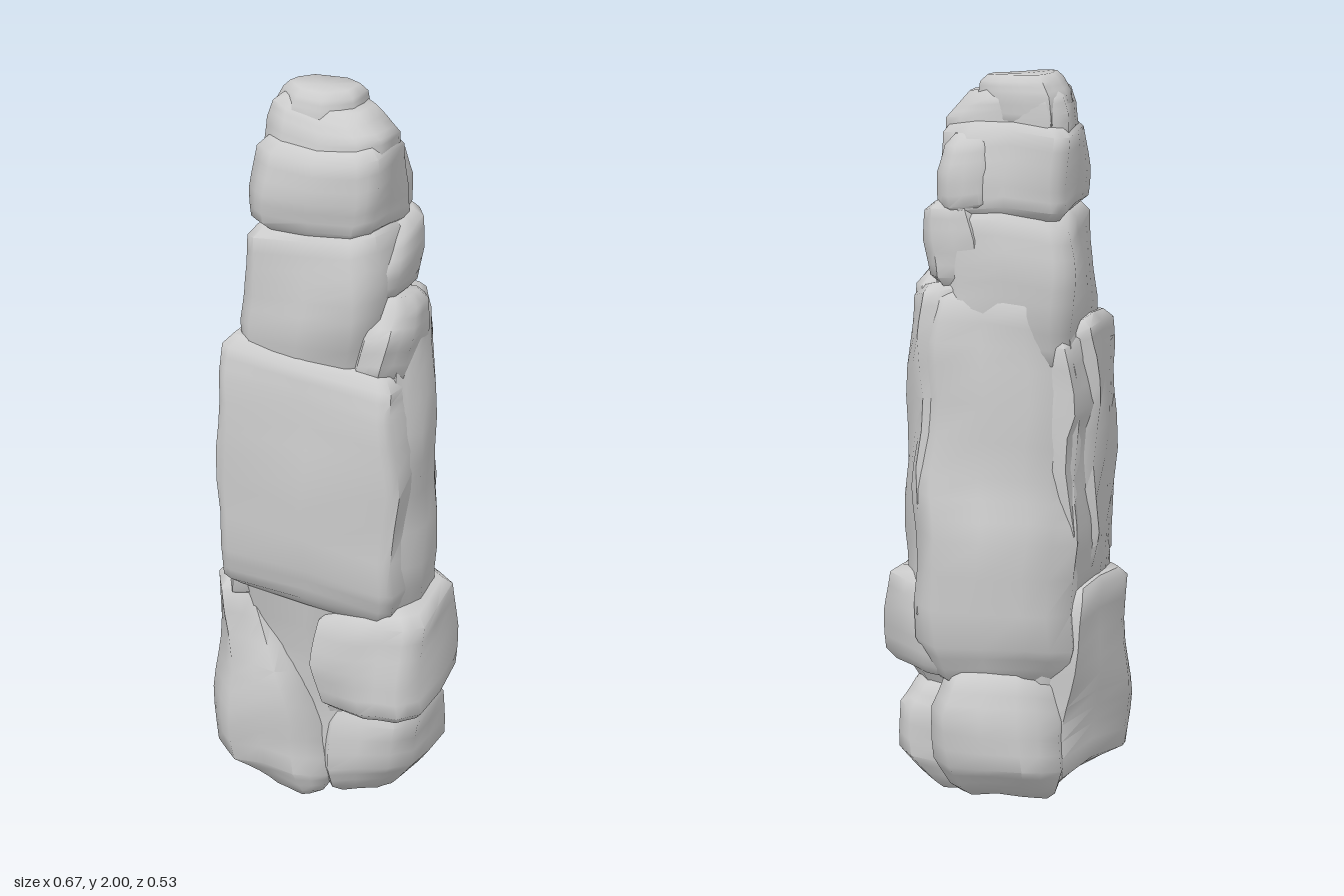
import * as THREE from 'three';
import { toCreasedNormals } from 'three/addons/utils/BufferGeometryUtils.js';

const material = new THREE.MeshStandardMaterial({ color: 0xcccccc });

// Plan outline of a boulder in -1..1, corners cut by [frontLeft, frontRight, backRight, backLeft]
// as seen from the front (a number, or separate [x, z] amounts), each edge split in two.
function planOutline(cuts) {
  const [a, b, c, d] = cuts.map((v) => (Array.isArray(v) ? v : [v, v]));
  const corners = [
    [-1 + a[0], 1], [1 - b[0], 1], [1, 1 - b[1]], [1, -1 + c[1]],
    [1 - c[0], -1], [-1 + d[0], -1], [-1, -1 + d[1]], [-1, 1 - a[1]],
  ];
  return corners.flatMap((p, i) => {
    const q = corners[(i + 1) % corners.length];
    return [p, [(p[0] + q[0]) / 2, (p[1] + q[1]) / 2]];
  });
}

// Boulder lofted through sections [y, xMin, xMax, zMin, zMax], with bevelled ends.
// tilt leans the ends: [top by x, top by z, bottom by x, bottom by z].
function boulder(name, sections, { cuts = [0.2, 0.2, 0.4, 0.4], tilt = [0, 0, 0, 0], bevel = 0.025, rough = 0.008 } = {}) {
  const inset = ([y, x0, x1, z0, z1], dy) => [y + dy, x0 + bevel, x1 - bevel, z0 + bevel, z1 - bevel];
  const last = sections[sections.length - 1];
  const rings = [inset(sections[0], -bevel)];
  sections.forEach((s, i) => {
    rings.push(s);
    const n = sections[i + 1];
    if (n) for (const t of [1 / 3, 2 / 3]) rings.push(s.map((v, k) => v + (n[k] - v) * t));
  });
  rings.push(inset(last, bevel));

  const outline = planOutline(cuts);
  const N = outline.length, yLow = rings[0][0], yHigh = rings[rings.length - 1][0];
  const pos = [], idx = [];
  const put = ([y, x0, x1, z0, z1], u, v) => {
    const cx = (x0 + x1) / 2, cz = (z0 + z1) / 2;
    const dx = u * (x1 - x0) / 2, dz = v * (z1 - z0) / 2;
    const t = (y - yLow) / (yHigh - yLow);
    const lean = t * (tilt[0] * dx + tilt[1] * dz) + (1 - t) * (tilt[2] * dx + tilt[3] * dz);
    const x = cx + dx, z = cz + dz;
    pos.push(
      x + rough * Math.sin(17 * y + 11 * z + 3 * x),
      Math.min(2, Math.max(0, y + lean + rough * Math.sin(19 * x - 13 * z))),
      z + rough * Math.sin(14 * y - 16 * x + 1),
    );
  };
  rings.forEach((r) => outline.forEach(([u, v]) => put(r, u, v)));
  put(rings[0], 0, 0);
  put(rings[rings.length - 1], 0, 0);
  const bottom = rings.length * N, top = bottom + 1, lastRing = bottom - N;
  for (let i = 0; i < N; i++) {
    const j = (i + 1) % N;
    for (let r = 0; r < rings.length - 1; r++) {
      const a = r * N + i, b = r * N + j;
      idx.push(a, b, b + N, a, b + N, a + N);
    }
    idx.push(bottom, j, i, top, lastRing + i, lastRing + j);
  }
  const geo = new THREE.BufferGeometry();
  geo.setAttribute('position', new THREE.Float32BufferAttribute(pos, 3));
  geo.setIndex(idx);
  const mesh = new THREE.Mesh(toCreasedNormals(geo, 1), material);
  mesh.name = name;
  return mesh;
}

export function createModel() {
  const group = new THREE.Group();
  group.name = 'rockPillar';
  group.add(
    // Foot stones
    boulder('footStoneRight', [
      [0.035, -0.2, 0.0, -0.08, 0.18], [0.1, -0.325, 0.025, -0.15, 0.215], [0.25, -0.33, 0.005, -0.16, 0.215],
      [0.4, -0.325, -0.06, -0.16, 0.2], [0.6, -0.32, -0.15, -0.15, 0.165],
    ], { cuts: [[0.55, 0.5], 0.4, 0.4, [0.75, 1.3]], tilt: [-0.25, 0, -0.08, 0] }),
    boulder('footStoneLeft', [
      [0.05, 0.0, 0.2, -0.13, 0.13], [0.12, 0.0, 0.265, -0.16, 0.16], [0.25, 0.0, 0.275, -0.165, 0.155],
      [0.32, 0.02, 0.24, -0.14, 0.13],
    ], { cuts: [0.3, 0.35, 0.35, 0.3], tilt: [0.1, 0, 0.12, 0] }),
    boulder('footStoneBack', [
      [0.06, -0.17, 0.12, -0.2, 0.0], [0.14, -0.2, 0.15, -0.255, 0.0], [0.28, -0.2, 0.16, -0.255, 0.0],
      [0.38, -0.16, 0.13, -0.225, 0.0],
    ], { cuts: [0.2, 0.2, [0.3, 0.5], 0.55], tilt: [0.12, 0, 0, 0] }),
    // Recessed filling between the foot and the main slabs
    boulder('innerStone', [
      [0.08, -0.16, 0.14, -0.14, 0.13], [0.3, -0.2, 0.16, -0.18, 0.14], [0.45, -0.22, 0.17, -0.18, 0.15],
      [0.7, -0.22, 0.18, -0.18, 0.2],
    ]),
    boulder('wedgeStone', [
      [0.27, 0.0, 0.22, -0.1, 0.13], [0.37, 0.0, 0.27, -0.14, 0.17],
    ], { tilt: [0.2, 0, 0.3, 0] }),
    // Overhanging shoulder on the left
    boulder('shoulderStone', [
      [0.37, 0.03, 0.325, -0.18, 0.255], [0.48, 0.01, 0.325, -0.19, 0.255], [0.6, 0.02, 0.315, -0.18, 0.23],
    ], { cuts: [[0.9, 0.2], [0.3, 0.25], [0.9, 0.6], 0.2], tilt: [0.08, -0.1, 0.05, -0.15] }),
    // Main slabs
    boulder('frontSlab', [
      [0.63, -0.255, 0.22, -0.1, 0.21], [0.72, -0.265, 0.245, -0.1, 0.235], [1.0, -0.265, 0.25, -0.1, 0.235],
      [1.2, -0.265, 0.24, -0.1, 0.22], [1.28, -0.255, 0.23, -0.1, 0.205],
    ], { cuts: [0.12, 0.12, 0.3, 0.3], tilt: [-0.18, 0, -0.15, 0] }),
    boulder('backSlab', [
      [0.38, -0.19, 0.17, -0.2, 0.08], [0.48, -0.225, 0.2, -0.245, 0.1], [0.78, -0.23, 0.21, -0.25, 0.12],
      [0.95, -0.23, 0.21, -0.215, 0.12], [1.25, -0.225, 0.2, -0.2, 0.12], [1.42, -0.205, 0.18, -0.185, 0.1],
    ], { cuts: [0.1, 0.1, [0.3, 0.4], [0.55, 0.45]], tilt: [0.1, 0.1, 0, 0] }),
    boulder('sideSlabLeft', [
      [0.55, 0.05, 0.265, -0.19, 0.14], [0.75, 0.05, 0.27, -0.19, 0.18], [1.05, 0.05, 0.265, -0.18, 0.17],
      [1.3, 0.07, 0.25, -0.175, 0.12], [1.42, 0.09, 0.235, -0.165, 0.05],
    ], { cuts: [0.3, [0.35, 0.5], [0.7, 0.85], 0.2], tilt: [-0.2, -0.15, 0, 0] }),
    boulder('sideSlabRight', [
      [0.6, -0.26, -0.05, -0.16, 0.17], [0.8, -0.265, -0.05, -0.17, 0.17], [1.06, -0.25, -0.05, -0.17, 0.17],
      [1.12, -0.265, -0.05, -0.17, 0.17], [1.3, -0.245, -0.05, -0.16, 0.15],
    ], { cuts: [0.2, 0.2, 0.2, [0.4, 1]] }),
    boulder('ledgeStone', [
      [1.26, 0.08, 0.23, -0.08, 0.17], [1.37, 0.1, 0.245, -0.1, 0.17], [1.44, 0.11, 0.23, -0.1, 0.11],
    ], { cuts: [0.5, 0.6, 0.4, 0.4] }),
    // Upper blocks
    boulder('upperBlock', [
      [1.25, -0.21, 0.14, -0.165, 0.17], [1.38, -0.22, 0.16, -0.185, 0.19], [1.5, -0.215, 0.17, -0.185, 0.185],
      [1.62, -0.2, 0.16, -0.165, 0.17],
    ], { cuts: [0.2, 0.3, 0.4, 0.25], tilt: [0.08, 0, 0, 0] }),
    boulder('upperWedge', [
      [1.47, 0.02, 0.18, -0.175, 0.13], [1.55, 0.02, 0.19, -0.18, 0.12], [1.63, 0.04, 0.18, -0.165, 0.03],
    ], { cuts: [0.3, 0.4, 0.4, 0.3], tilt: [0, -0.3, 0, 0] }),
    boulder('capBlock', [
      [1.65, -0.2, 0.155, -0.165, 0.17], [1.73, -0.2, 0.16, -0.165, 0.18], [1.84, -0.195, 0.15, -0.145, 0.165],
    ], { cuts: [0.36, 0.25, 0.45, 0.2], tilt: [0, -0.05, 0, 0] }),
    boulder('cornerChip', [
      [1.66, -0.02, 0.14, -0.17, -0.03], [1.75, -0.02, 0.15, -0.172, -0.03], [1.82, 0.0, 0.135, -0.16, -0.04],
    ], { cuts: [0.2, 0.3, 0.5, 0.5] }),
    // Summit
    boulder('summitBase', [
      [1.84, -0.185, 0.145, -0.125, 0.13], [1.89, -0.185, 0.14, -0.12, 0.12], [1.93, -0.175, 0.1, -0.115, 0.1],
    ], { cuts: [0.4, 0.3, 0.5, 0.3], tilt: [-0.15, 0, 0, 0] }),
    boulder('summitStone', [
      [1.87, -0.185, 0.05, -0.12, 0.1], [1.94, -0.18, 0.05, -0.12, 0.095], [1.975, -0.16, 0.045, -0.11, 0.085],
    ], { cuts: [[0.7, 0.75], 0.6, [0.6, 0.4], [0.3, 0.6]], tilt: [-0.08, 0, 0, 0], bevel: 0.018, rough: 0.004 }),
  );
  return group;
}
